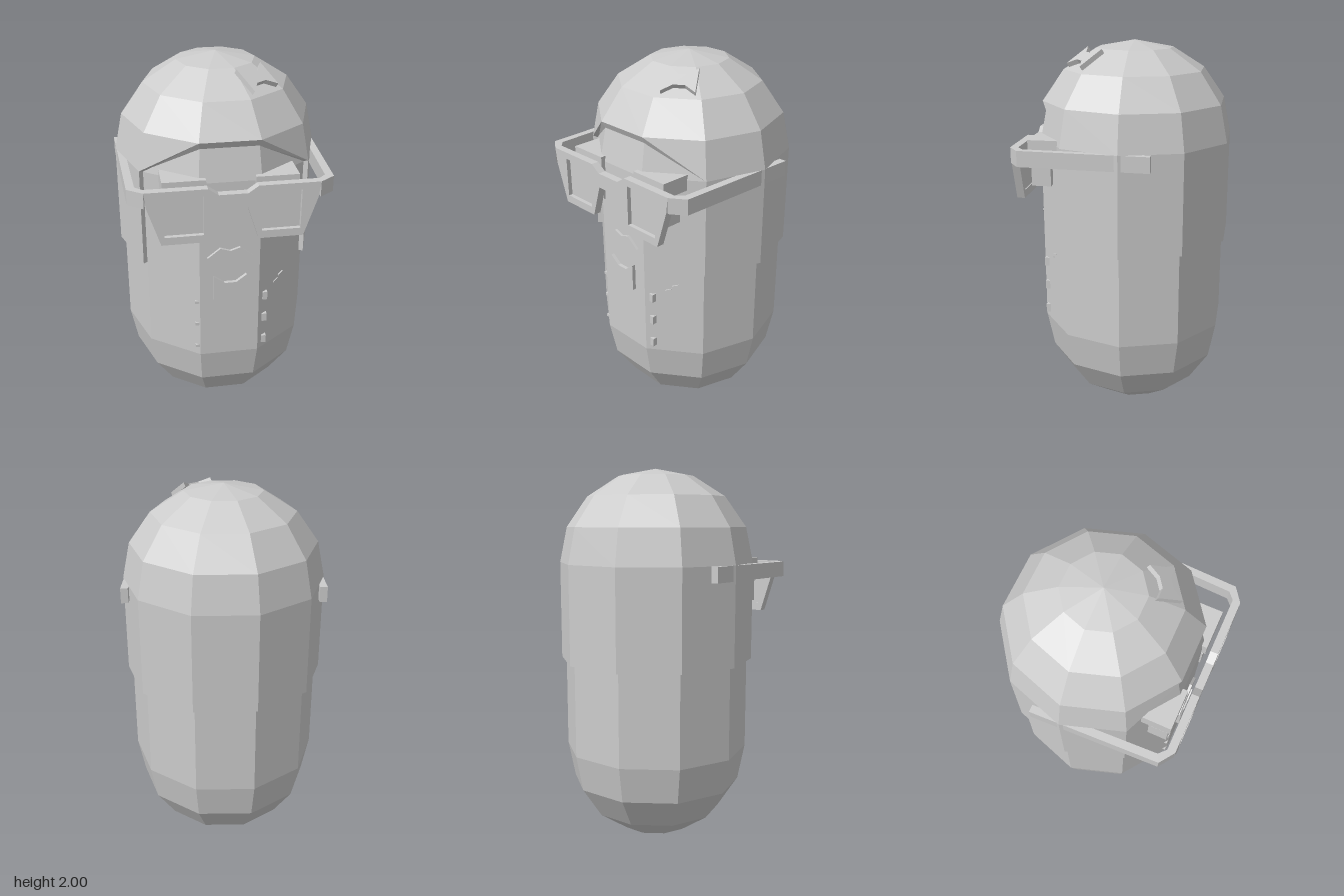
import * as THREE from 'three';

const CZ = -0.03; // z of the body axis
const SIDES = 10;
const mat = new THREE.MeshStandardMaterial({ color: 0xcccccc, flatShading: true, side: THREE.DoubleSide });

const point = (r, y, i) => {
  const a = (i * Math.PI * 2) / SIDES;
  return [r * Math.cos(a), y, r * Math.sin(a) + CZ];
};

function extrude(points, depth, holes = []) {
  const toV = (p) => new THREE.Vector2(p[0], p[1]);
  const shape = new THREE.Shape(points.map(toV));
  holes.forEach((h) => shape.holes.push(new THREE.Path(h.map(toV))));
  return new THREE.ExtrudeGeometry(shape, { depth, bevelEnabled: false });
}

const mirrorX = (half) => [...half, ...half.map(([x, y]) => [-x, y]).reverse()];

// Capsule body: ten sides, four rings in each dome
function bodyGeometry() {
  const r = 0.495, pts = [];
  for (let k = 0; k <= 4; k++) {
    const a = ((k - 4) * Math.PI) / 8;
    pts.push(new THREE.Vector2(r * Math.cos(a), 0.5 + r * Math.sin(a)));
  }
  for (let k = 0; k <= 4; k++) {
    const a = (k * Math.PI) / 8;
    pts.push(new THREE.Vector2(r * Math.cos(a), 1.5 + 0.48 * Math.sin(a)));
  }
  pts[0].set(0, 0);
  pts[9].x = 0;
  return new THREE.LatheGeometry(pts, SIDES, Math.PI / 2);
}

// Hood: dome and skirt, open over the three front sides, with a rim
function hoodGeometry() {
  const pos = [];
  const tri = (a, b, c) => pos.push(...a, ...b, ...c);
  const quad = (a, b, c, d) => { tri(a, b, c); tri(a, c, d); };
  const rings = [[0.52, 0.99]];
  for (let k = 0; k <= 4; k++) {
    const a = (k * Math.PI) / 8;
    rings.push([0.52 * Math.cos(a), 1.51 + 0.49 * Math.sin(a)]);
  }
  const P = (k, i) => point(rings[k][0], rings[k][1], i);
  for (let k = 0; k < 5; k++) {
    for (let i = 0; i < SIDES; i++) {
      const front = i >= 1 && i <= 3;
      if (front && k === 0) continue;
      if (front && k === 1) {
        // slanted corners of the face opening
        if (i === 1) tri(P(1, 1), P(2, 1), P(2, 2));
        if (i === 3) tri(P(1, 4), P(2, 3), P(2, 4));
        continue;
      }
      quad(P(k, i), P(k + 1, i), P(k + 1, i + 1), P(k, i + 1));
    }
  }
  // rim joins the outer edge to the body
  const edge = [];
  for (let i = 4; i <= 11; i++) edge.push([P(0, i), point(0.49, 0.99, i)]);
  edge.push([P(1, 1), point(0.49, 1.5, 1)], [P(2, 2), point(0.46, 1.66, 2)]);
  edge.push([P(2, 3), point(0.46, 1.66, 3)], [P(1, 4), point(0.49, 1.5, 4)]);
  edge.forEach(([a, b], n) => {
    const [c, d] = edge[(n + 1) % edge.length];
    quad(a, c, d, b);
  });
  const g = new THREE.BufferGeometry();
  g.setAttribute('position', new THREE.Float32BufferAttribute(pos, 3));
  g.computeVertexNormals();
  return g;
}

export function createModel() {
  const model = new THREE.Group();
  const add = (name, geometry, x = 0, y = 0, z = 0, parent = model) => {
    const mesh = new THREE.Mesh(geometry, mat);
    mesh.name = name;
    mesh.position.set(x, y, z);
    parent.add(mesh);
    return mesh;
  };

  add('body', bodyGeometry(), 0, 0, CZ);
  add('hood', hoodGeometry());

  // Glasses: front frame, lenses and bent side arms
  const glasses = new THREE.Group();
  glasses.name = 'glasses';
  model.add(glasses);
  const outline = mirrorX([[0.07, 1.475], [0.12, 1.51], [0.42, 1.51], [0.41, 1.43],
    [0.345, 1.23], [0.125, 1.23], [0.07, 1.4]]);
  const holes = [1, -1].map((s) => [[0.14 * s, 1.27], [0.33 * s, 1.27], [0.33 * s, 1.475], [0.14 * s, 1.475]]);
  add('glassesFrame', extrude(outline, 0.04, holes), 0, 0, 0.483, glasses);
  for (const s of [1, -1]) {
    const side = s > 0 ? 'left' : 'right';
    add(side + 'Lens', new THREE.BoxGeometry(0.2, 0.215, 0.012), 0.235 * s, 1.3725, 0.495, glasses);
    const arm = [[0.42, 0.523], [0.495, 0.47], [0.521, -0.185], [0.483, -0.185], [0.456, 0.45], [0.42, 0.483]];
    const armGeo = extrude(arm.map(([x, z]) => [x * s, z]), 0.08).rotateX(Math.PI / 2);
    add(side + 'GlassesArm', armGeo, 0, 1.51, 0, glasses);

    // Eye and brow blocks behind the glasses
    add(side + 'Eye', new THREE.BoxGeometry(0.19, 0.12, 0.1), 0.225 * s, 1.35, 0.4);
    add(side + 'Brow', new THREE.BoxGeometry(0.21, 0.08, 0.18), 0.225 * s, 1.488, 0.373);

    // Buttons, almost flush with the front corners
    [0.555, 0.695, 0.83].forEach((y) => {
      const h = s > 0 ? 0.045 : 0.015;
      add(side + 'Button', new THREE.BoxGeometry(0.025, h, 0.03), (s > 0 ? 0.188 : 0.165) * s, y, s > 0 ? 0.416 : 0.423);
    });
  }

  // Mouth
  const lips = mirrorX([[0, 1.13], [0.05, 1.147], [0.115, 1.095], [0.05, 1.045]]);
  lips.pop();
  add('mouth', extrude(lips, 0.025), 0, 0, 0.43);

  // Bow tie, and the same bow laid on the hood
  const bow = extrude(mirrorX([[0.03, 0.032], [0.083, 0.072], [0.083, -0.072], [0.03, -0.032]]), 0.025);
  add('bowTie', bow, 0, 0.917, 0.435);
  const hairBow = add('hairBow', bow, 0.16, 1.908, 0.19);
  hairBow.rotation.set(-0.99, Math.PI / 5, 0, 'YXZ');

  // Small trim on the left chest
  [[0.255, 0.882, 0.368], [0.285, 0.91, 0.347]].forEach(([x, y, z]) => {
    const trim = add('chestTrim', new THREE.BoxGeometry(0.035, 0.008, 0.01), x, y, z);
    trim.rotation.set(0, Math.PI / 5, 0.3);
  });

  return model;
}
